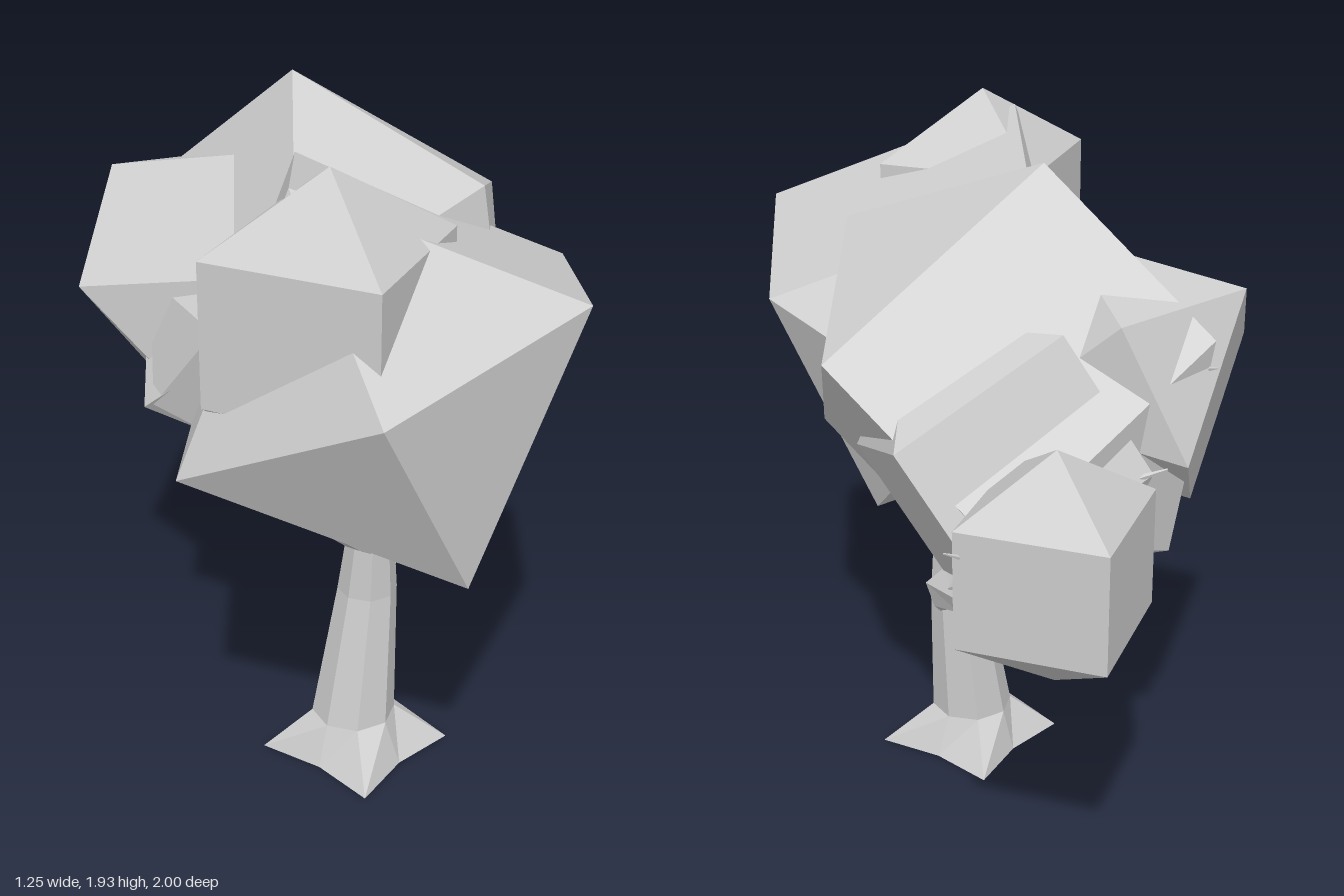
import * as THREE from 'three';

const V = (p) => new THREE.Vector3(...p);
const material = new THREE.MeshStandardMaterial({ color: 0xcccccc, flatShading: true });

// Skin a list of equal-length rings (counter-clockwise about the growth direction), closing both ends
function loft(rings) {
  const pos = [];
  const tri = (a, b, c) => pos.push(...a.toArray(), ...b.toArray(), ...c.toArray());
  const n = rings[0].length;
  const middle = (ring) => ring.reduce((s, p) => s.add(p), new THREE.Vector3()).divideScalar(n);
  const first = rings[0], last = rings[rings.length - 1];
  const m0 = middle(first), m1 = middle(last);
  for (let i = 0; i < n; i++) {
    const j = (i + 1) % n;
    for (let k = 0; k < rings.length - 1; k++) {
      const a = rings[k], b = rings[k + 1];
      tri(a[i], a[j], b[j]);
      tri(a[i], b[j], b[i]);
    }
    tri(m0, first[j], first[i]);
    tri(m1, last[i], last[j]);
  }
  const geo = new THREE.BufferGeometry();
  geo.setAttribute('position', new THREE.Float32BufferAttribute(pos, 3));
  geo.computeVertexNormals();
  return geo;
}

// Tapered limb along points of the form [x, y, z, radius]
function limb(points, sides = 5) {
  const centres = points.map((p) => V(p.slice(0, 3)));
  return loft(points.map((p, k) => {
    const dir = centres[Math.min(k + 1, points.length - 1)].clone()
      .sub(centres[Math.max(k - 1, 0)]).normalize();
    const u = new THREE.Vector3(0, 1, 0).addScaledVector(dir, -dir.y).normalize();
    const v = dir.clone().cross(u);
    return Array.from({ length: sides }, (_, i) => {
      const t = (i / sides) * Math.PI * 2;
      return centres[k].clone().addScaledVector(u, p[3] * Math.cos(t)).addScaledVector(v, p[3] * Math.sin(t));
    });
  }));
}

// Trunk: eight-sided rings, the lowest one pulled out into four root tips
function trunk() {
  const levels = [
    // x, y, z, tip radius, valley radius
    [0.01, 0, 0.22, 0.27, 0.165],
    [0.005, 0.12, 0.215, 0.12, 0.12],
    [0.05, 0.52, 0.2, 0.085, 0.085],
    [0.05, 0.72, 0.22, 0.065, 0.065],
    [0.05, 0.92, 0.24, 0.045, 0.045],
    [0.04, 1.2, 0.24, 0.02, 0.02],
  ];
  return loft(levels.map(([x, y, z, tip, valley]) => Array.from({ length: 8 }, (_, i) => {
    const t = (i / 8) * Math.PI * 2 + 1.3;
    const r = i % 2 ? valley : tip;
    return new THREE.Vector3(x + r * Math.sin(t), y, z + r * Math.cos(t));
  })));
}

// Leaf clump: four-sided, three-band sphere turned so that its pole points along
// `pole` and one corner of its rings along `corner`
function clump(centre, radius, pole, corner) {
  const y = V(pole).normalize();
  const x = V(corner);
  x.addScaledVector(y, -x.dot(y)).normalize();
  const z = x.clone().cross(y);
  const matrix = new THREE.Matrix4().makeBasis(x, y, z).setPosition(...centre);
  return new THREE.SphereGeometry(radius, 4, 3).applyMatrix4(matrix);
}

export function createModel() {
  const tree = new THREE.Group();
  tree.name = 'tree';
  const add = (name, geometry, parent) => {
    const mesh = new THREE.Mesh(geometry, material);
    mesh.name = name;
    parent.add(mesh);
  };

  add('trunk', trunk(), tree);

  // Branches and the twig tips that poke out of the leaves
  const branches = new THREE.Group();
  branches.name = 'branches';
  tree.add(branches);
  const limbs = {
    backBranch: [[0.06, 0.5, 0.2, 0.06], [0.135, 0.6, 0.1, 0.062], [0.17, 0.68, -0.12, 0.042],
      [0.2, 0.77, -0.36, 0.028], [0.2, 0.88, -0.57, 0.016], [0.21, 1.05, -0.72, 0.008]],
    backSideBranch: [[0.17, 0.68, -0.05, 0.025], [0.15, 0.78, -0.2, 0.02], [0.1, 0.95, -0.32, 0.012]],
    frontBranch: [[0.05, 0.68, 0.23, 0.04], [-0.02, 0.74, 0.29, 0.035], [-0.12, 0.84, 0.37, 0.03],
      [-0.26, 1.07, 0.45, 0.02]],
    sideBranch: [[0.04, 0.74, 0.2, 0.035], [-0.08, 0.88, 0.08, 0.028], [-0.22, 1.1, -0.1, 0.02]],
    backTwig: [[0.4, 1.14, -0.73, 0.012], [0.5, 1.19, -0.74, 0.002]],
    sideTwig: [[-0.28, 1.42, -0.48, 0.02], [-0.32, 1.46, -0.59, 0.002]],
    innerTwig: [[-0.05, 1.2, -0.6, 0.012], [-0.15, 1.24, -0.65, 0.003]],
    upperTwig: [[-0.38, 1.52, 0.45, 0.012], [-0.44, 1.55, 0.43, 0.002]],
  };
  for (const [name, points] of Object.entries(limbs)) add(name, limb(points), branches);

  // Foliage: centre, radius, pole direction, ring corner direction
  const foliage = new THREE.Group();
  foliage.name = 'foliage';
  tree.add(foliage);
  const clumps = {
    frontLeaves: [[-0.02, 1.34, 0.43], 0.62, [-0.22, 0.115, 0.57], [0.47, 0.215, 0.145]],
    topLeaves: [[0.04, 1.31, -0.115], 0.622, [0.15, 0.2, 0.19], [-0.22, 0.4, -0.28]],
    upperFrontLeaves: [[-0.21, 1.555, 0.58], 0.375, [0, 1, 0], [1, 0, 0]],
    backLeaves: [[0.2, 1.077, -0.727], 0.315, [0, 1, 0], [1, 0, 0]],
    sideLeaves: [[-0.24, 1.355, -0.277], 0.4, [0.44, 0.596, -0.674], [-0.3, 0.146, -0.078]],
    innerBackLeaves: [[0.155, 1.19, -0.315], 0.42, [0.42, 0.82, 0.38], [-0.18, 0.2, -0.225]],
    innerSideLeaves: [[-0.175, 1.25, 0.01], 0.36, [-0.93, -0.35, 0.1], [0.35, -0.93, 1]],
  };
  for (const [name, spec] of Object.entries(clumps)) add(name, clump(...spec), foliage);

  return tree;
}
